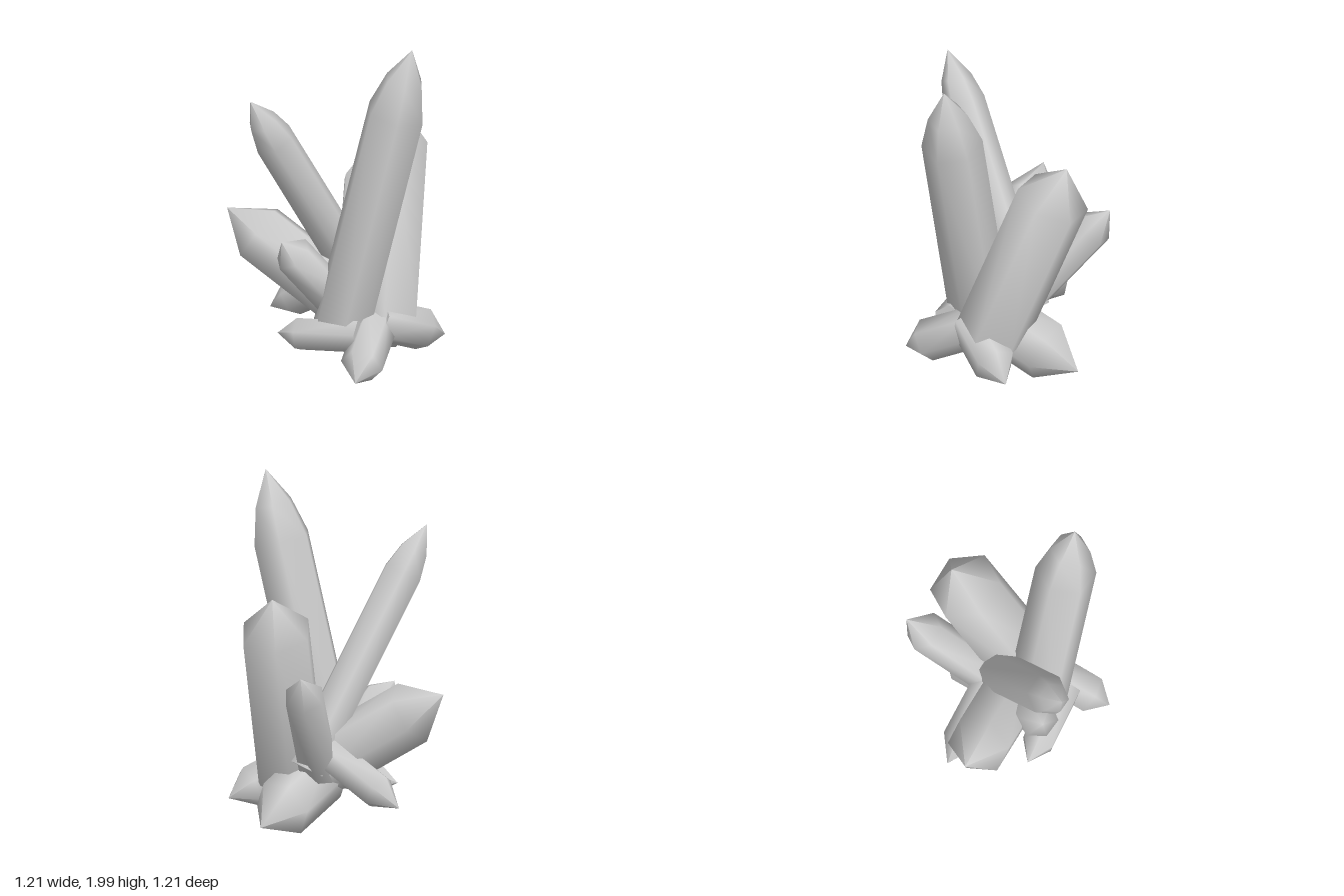
import * as THREE from 'three';
import { toCreasedNormals } from 'three/addons/utils/BufferGeometryUtils.js';

const SIDES = 6;
const UP = new THREE.Vector3(0, 1, 0);

// A six-sided prism from base to tip. point = length of the pointed end,
// bevel = optional [distance from tip, radius] of a ring within that end.
function crystal(name, base, tip, radius, point, { bevel, spin = 0.25 } = {}) {
  const start = new THREE.Vector3(...base);
  const axis = new THREE.Vector3(...tip).sub(start);
  const length = axis.length();
  const profile = [[0, 0], [radius, 0], [radius, length - point]];
  if (bevel) profile.push([bevel[1], length - bevel[0]]);
  profile.push([0, length]);

  const lathe = new THREE.LatheGeometry(profile.map(([r, y]) => new THREE.Vector2(r, y)), SIDES);
  lathe.rotateY(spin);
  // Smooth around the prism and tip, sharp at the flat base
  const mesh = new THREE.Mesh(
    toCreasedNormals(lathe, 1.3),
    new THREE.MeshStandardMaterial({ color: 0xcccccc })
  );
  mesh.name = name;
  mesh.position.copy(start);
  mesh.quaternion.setFromUnitVectors(UP, axis.normalize());
  return mesh;
}

export function createModel() {
  const group = new THREE.Group();
  group.name = 'crystalCluster';

  group.add(
    // Tall crystals
    crystal('tallCrystal', [-0.11, 0.2, 0.1], [0.02, 2.0, 0.54], 0.175, 0.41, { bevel: [0.2, 0.115] }),
    crystal('wideCrystal', [0.11, 0.28, 0.235], [0.48, 1.44, 0.01], 0.212, 0.23),
    crystal('leaningCrystal', [0.2, 0.37, 0.03], [-0.6, 1.69, -0.14], 0.122, 0.31, { bevel: [0.165, 0.088] }),

    // Middle crystals at the back and sides
    crystal('backLeftCrystal', [0.05, 0.26, 0.06], [0.54, 1.045, -0.285], 0.118, 0.17),
    crystal('backRightCrystal', [0.0, 0.37, 0.05], [-0.285, 0.845, -0.6], 0.185, 0.23),
    crystal('sideStubCrystal', [-0.1, 0.42, 0.03], [-0.39, 0.79, -0.09], 0.115, 0.11),

    // Low crystals around the foot
    crystal('lowBackCrystal', [0.09, 0.46, -0.05], [-0.03, 0.2, -0.5], 0.108, 0.16),
    crystal('lowSideCrystal', [-0.16, 0.25, 0.3], [-0.34, 0.21, -0.165], 0.1, 0.13),
    crystal('lowFrontRightCrystal', [0.03, 0.29, 0.27], [-0.365, 0.06, 0.45], 0.122, 0.14),
    crystal('lowFrontLeftCrystal', [0.0, 0.31, 0.29], [0.41, 0.145, 0.44], 0.125, 0.15),
    crystal('lowLeftCrystal', [-0.02, 0.28, 0.12], [0.57, 0.1, 0.01], 0.178, 0.22)
  );
  return group;
}
